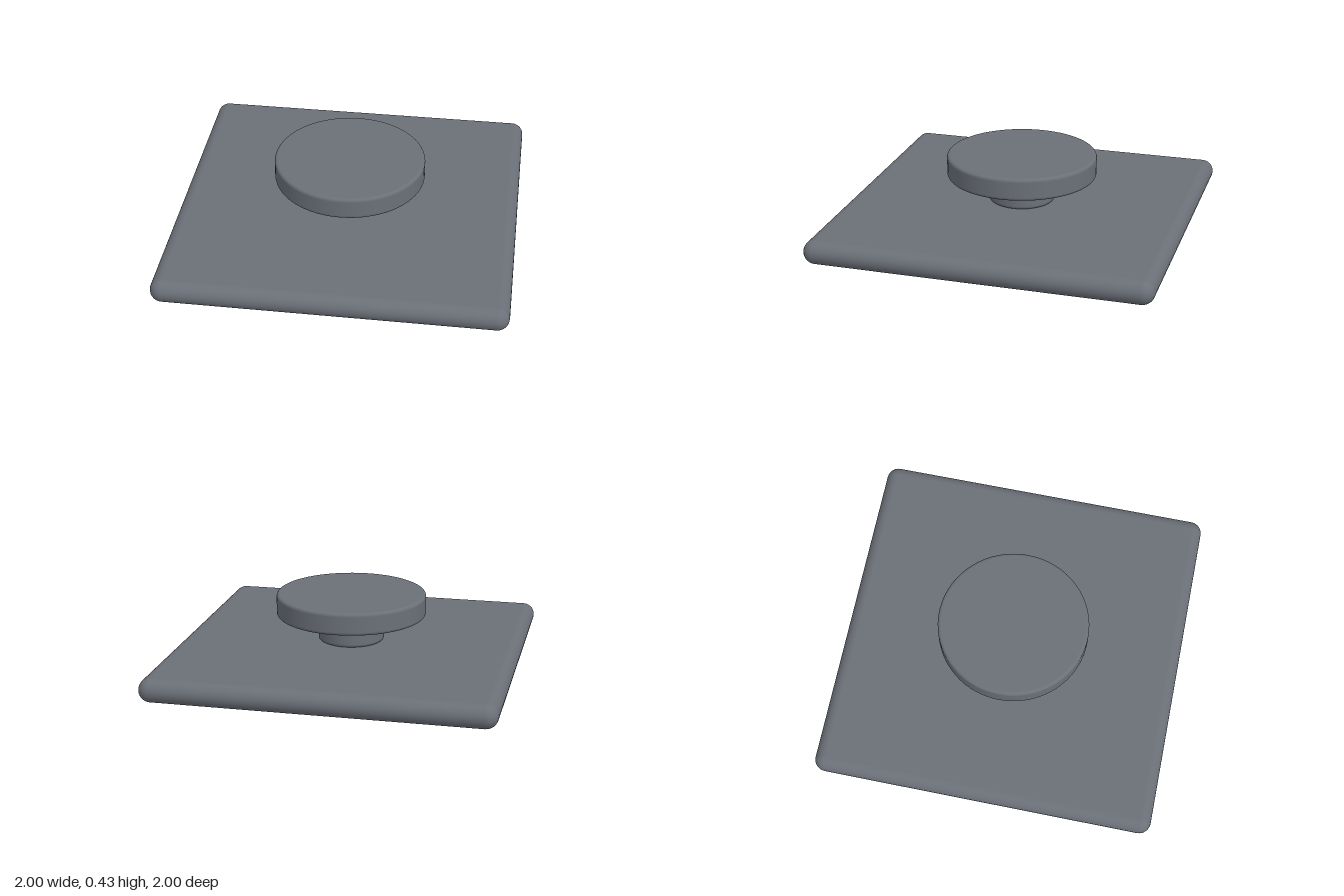
import * as THREE from 'three';
import { RoundedBoxGeometry } from 'three/addons/geometries/RoundedBoxGeometry.js';

const steel = new THREE.MeshStandardMaterial({ color: 0x6b7078 });
steel.name = 'slate grey';

// Cylinder with rounded rims, standing from y0 to y1
function roundedDisc(name, radius, y0, y1, bevel) {
  const pts = [new THREE.Vector2(0, y0), new THREE.Vector2(radius - bevel - 0.003, y0)];
  const steps = 5;
  // Bottom rim, then top rim; the extra points keep caps and wall flat
  for (const [cy, start] of [[y0 + bevel, -Math.PI / 2], [y1 - bevel, 0]]) {
    if (start === 0) pts.push(new THREE.Vector2(radius, cy - 0.003));
    for (let i = 0; i <= steps; i++) {
      const a = start + (i / steps) * Math.PI / 2;
      pts.push(new THREE.Vector2(radius - bevel + bevel * Math.cos(a), cy + bevel * Math.sin(a)));
    }
    if (start !== 0) pts.push(new THREE.Vector2(radius, cy + 0.003));
  }
  pts.push(new THREE.Vector2(radius - bevel - 0.003, y1), new THREE.Vector2(0, y1));
  const mesh = new THREE.Mesh(new THREE.LatheGeometry(pts, 64), steel);
  mesh.name = name;
  return mesh;
}

export function createModel() {
  const group = new THREE.Group();
  group.name = 'knobOnPlate';

  // Square base plate with fully rounded edges
  const height = 0.14;
  const plate = new THREE.Mesh(new RoundedBoxGeometry(2, height, 2, 4, 0.0695), steel);
  plate.name = 'basePlate';
  plate.position.y = height / 2;
  group.add(plate);

  // Short neck and wide cap
  group.add(roundedDisc('neck', 0.195, 0.14, 0.295, 0.018));
  group.add(roundedDisc('cap', 0.443, 0.293, 0.425, 0.018));

  return group;
}
